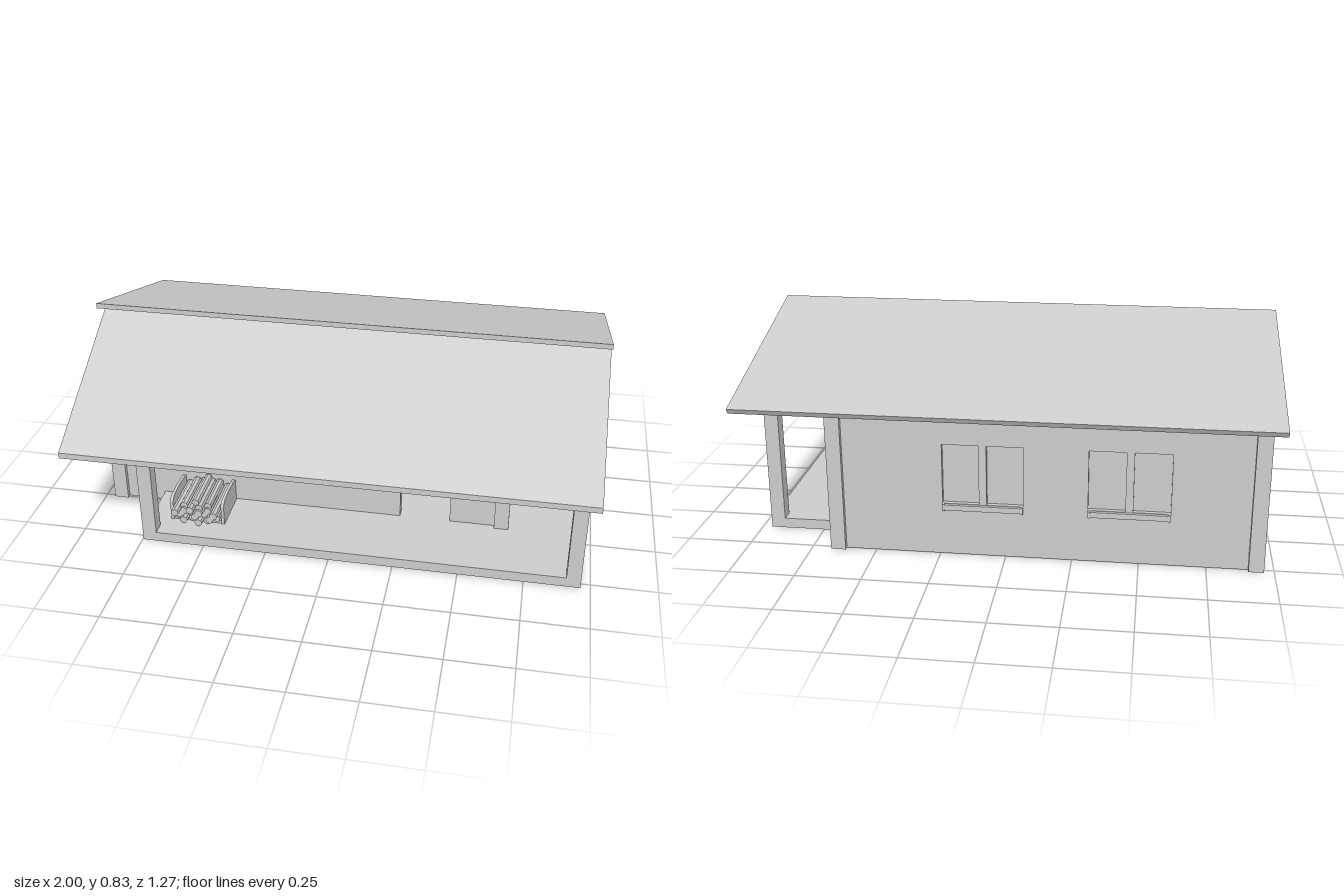
import * as THREE from 'three';

const T = 0.045;                 // wall thickness
const FLOOR = 0.04;              // deck height
const HOUSE = { x0: -0.945, x1: 0.655, z0: -0.502, z1: 0.242 };
const DECK = { x0: -0.746, x1: 0.963, z0: -0.357, z1: 0.525 };
const DOOR = { x0: 0.24, x1: 0.44, top: 0.46 };
const WIN = { w: 0.305, pane: 0.138, y0: 0.208, y1: 0.444 };

// Height of the roof underside at depth z
const roofY = z => (z > 0 ? 0.764 - 0.539 * z : 0.764 + 0.304 * z);

const outline = (Kind, points) => new Kind(points.map(p => new THREE.Vector2(...p)));
const hole = (x0, x1, y0, y1) => outline(THREE.Path, [[x0, y0], [x1, y0], [x1, y1], [x0, y1]]);

export function createModel() {
  const model = new THREE.Group();
  const mat = new THREE.MeshStandardMaterial({ color: 0xcccccc });
  const flat = new THREE.MeshStandardMaterial({ color: 0xcccccc, flatShading: true });

  const add = (name, geo, parent = model, m = mat) => {
    const mesh = new THREE.Mesh(geo, m);
    mesh.name = name;
    parent.add(mesh);
    return mesh;
  };
  const box = (name, x0, x1, y0, y1, z0, z1, parent) => {
    const geo = new THREE.BoxGeometry(x1 - x0, y1 - y0, z1 - z0);
    geo.translate((x0 + x1) / 2, (y0 + y1) / 2, (z0 + z1) / 2);
    return add(name, geo, parent);
  };
  const extrude = (points, holes, depth) => {
    const shape = outline(THREE.Shape, points);
    shape.holes.push(...holes);
    return new THREE.ExtrudeGeometry(shape, { depth, bevelEnabled: false });
  };
  // Extrude a (z, y) profile along x
  const prism = (name, profile, x0, x1, parent, holes = []) =>
    add(name, extrude(profile, holes, x1 - x0).rotateY(-Math.PI / 2).translate(x1, 0, 0), parent);
  // Post whose top is cut to the roof slope
  const post = (name, x0, x1, z0, z1) =>
    prism(name, [[z0, 0], [z1, 0], [z1, roofY(z1)], [z0, roofY(z0)]], x0, x1);

  // Pair of openings for one window
  const windowHoles = c => [-1, 1].map(s => {
    const m = c + s * (WIN.w - WIN.pane) / 2;
    return hole(m - WIN.pane / 2, m + WIN.pane / 2, WIN.y0, WIN.y1);
  });

  // Roof slabs
  prism('frontRoof', [[0.635, 0.422], [0.635, 0.445], [0.045, 0.776], [0, 0.764]], -1, 1);
  prism('backRoof', [[0.134, 0.829], [0.134, 0.808], [0, 0.764], [-0.622, 0.575], [-0.634, 0.595]], -1, 1);

  // Front wall: stands on the deck, open at the doorway
  const wx0 = HOUSE.x0 + 0.01, wx1 = HOUSE.x1 - 0.01;
  const frontTop = roofY(HOUSE.z1), backTop = roofY(HOUSE.z0);
  const front = [[wx0, 0], [DECK.x0, 0], [DECK.x0, FLOOR],
    [DOOR.x0, FLOOR], [DOOR.x0, DOOR.top], [DOOR.x1, DOOR.top], [DOOR.x1, FLOOR],
    [wx1, FLOOR], [wx1, frontTop], [wx0, frontTop]];
  add('frontWall', extrude(front, windowHoles(-0.45), T).translate(0, 0, HOUSE.z1 - T));

  // Back wall
  const back = [[wx0, 0], [wx1, 0], [wx1, backTop], [wx0, backTop]];
  add('backWall', extrude(back, [...windowHoles(0.086), ...windowHoles(-0.46)], T)
    .translate(0, 0, HOUSE.z0));

  // Gable walls; the one by the side porch stands on the deck
  const gableTop = [[0.203, roofY(0.203)], [0, roofY(0)], [-0.466, roofY(-0.466)]];
  prism('leftGableWall',
    [[-0.466, 0], [DECK.z0, 0], [DECK.z0, FLOOR], [0.203, FLOOR], ...gableTop],
    HOUSE.x1 - T, HOUSE.x1, model, windowHoles(-0.152));
  prism('rightGableWall', [[-0.466, 0], [0.203, 0], ...gableTop], HOUSE.x0, HOUSE.x0 + T);

  // House corner posts
  for (const x of [-0.962, 0.618])
    for (const z of [-0.52, 0.203]) post('cornerPost', x, x + 0.057, z, z + 0.057);

  // Porch posts
  for (const [x, z] of [[DECK.x0, DECK.z1 - 0.053], [DECK.x1 - 0.055, DECK.z1 - 0.053],
    [DECK.x1 - 0.055, DECK.z0]]) post('porchPost', x, x + 0.055, z, z + 0.053);

  // Floors: front deck, side deck, interior and door threshold
  box('frontDeck', DECK.x0, DECK.x1, 0, FLOOR, HOUSE.z1, DECK.z1);
  box('sideDeck', HOUSE.x1, DECK.x1, 0, FLOOR, DECK.z0, HOUSE.z1);
  box('interiorFloor', HOUSE.x0 + T, HOUSE.x1 - T, 0, FLOOR, HOUSE.z0 + T, HOUSE.z1 - T);
  box('threshold', DOOR.x0, DOOR.x1, 0, FLOOR, HOUSE.z1 - T, HOUSE.z1);

  // Window panes and sill, facing local +z from the wall surface
  const addWindow = (name, x, z, turn) => {
    const g = new THREE.Group();
    g.name = name;
    const h = WIN.w / 2;
    box('pane', -h, h, WIN.y0 - 0.005, WIN.y1 + 0.005, -0.03, -0.018, g);
    box('sill', -h, h, 0.184, 0.206, -0.01, 0.013, g);
    for (const s of [-1, 1])
      box('sillEnd', s * (h - 0.004) - 0.004, s * (h - 0.004) + 0.004, 0.182, 0.209, -0.01, 0.016, g);
    g.position.set(x, 0, z);
    g.rotation.y = turn;
    model.add(g);
  };
  addWindow('frontWindow', -0.45, HOUSE.z1, 0);
  addWindow('sideWindow', HOUSE.x1, -0.152, Math.PI / 2);
  for (const x of [0.086, -0.46]) addWindow('backWindow', x, HOUSE.z0, Math.PI);

  // Firewood rack: two rounded side boards and a base
  const rack = new THREE.Group();
  rack.name = 'firewoodRack';
  model.add(rack);
  const board = [[0.245, FLOOR], [0.425, FLOOR], [0.425, 0.122], [0.417, 0.134],
    [0.4, 0.142], [0.34, 0.146], [0.28, 0.142], [0.245, 0.134]];
  for (const x of [-0.66, -0.452]) prism('rackSide', board, x, x + 0.012, rack);
  box('rackBase', -0.65, -0.45, FLOOR, 0.052, 0.245, 0.42, rack);

  // Stacked logs with uneven ends
  const r = 0.0155;
  [6, 5, 6, 4, 1].forEach((count, row) => {
    for (let i = 0; i < count; i++) {
      const end = row === 4 ? 0.44 : 0.43 + 0.04 * ((i * 3 + row * 2) % 5) / 4;
      const geo = new THREE.CylinderGeometry(r, r, end - 0.252, 8);
      geo.rotateX(Math.PI / 2);
      const log = add('log', geo, rack, flat);
      log.position.set(-0.55 + (i - (count - 1) / 2) * 0.0315, 0.067 + row * 0.0183, (end + 0.252) / 2);
    }
  });

  return model;
}
